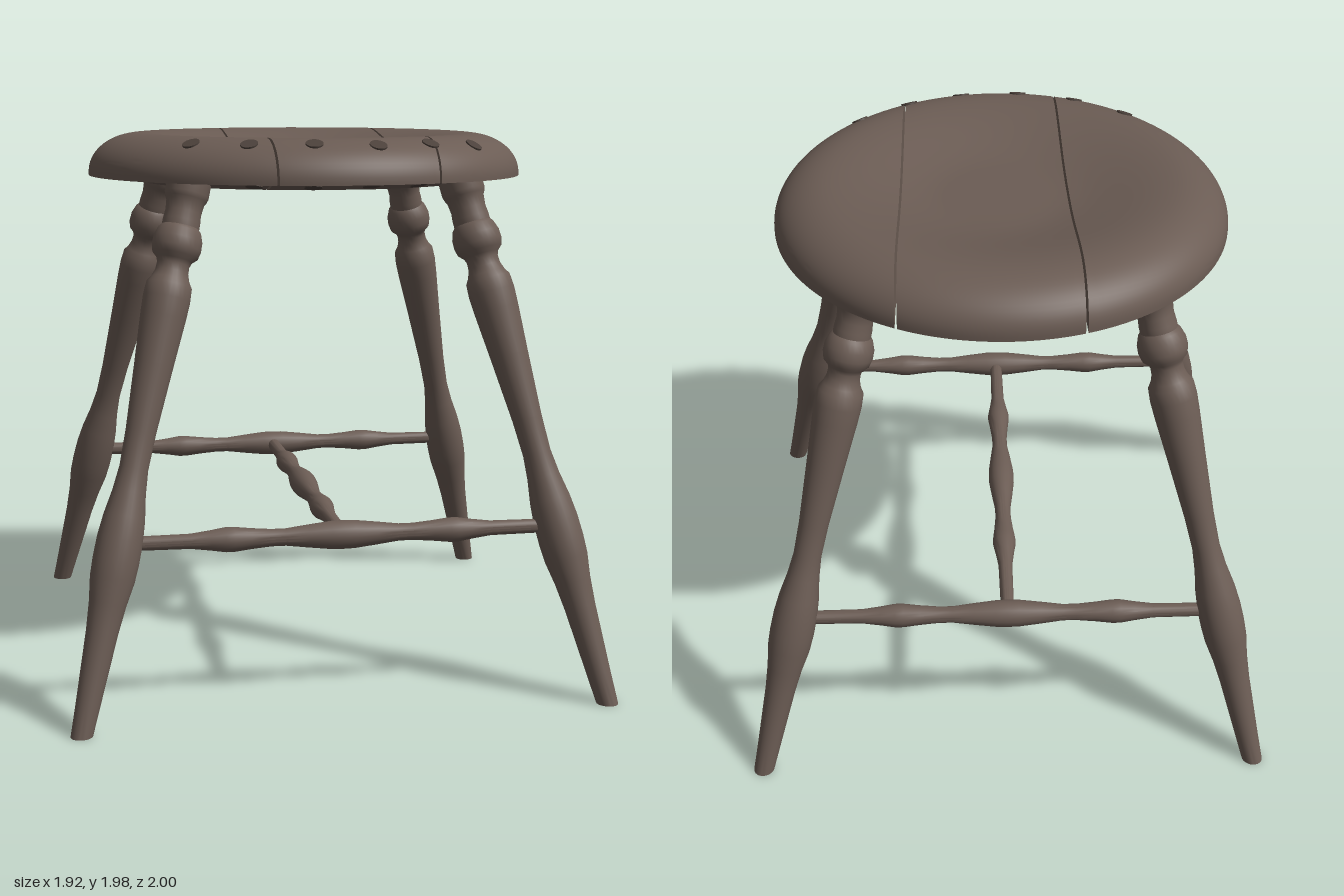
import * as THREE from 'three';
import { mergeVertices, toCreasedNormals } from 'three/addons/utils/BufferGeometryUtils.js';

const wood = new THREE.MeshStandardMaterial({ color: 0x6b5c54 });
wood.name = 'brown wood';
const holeWood = new THREE.MeshStandardMaterial({ color: 0x4c413b });
holeWood.name = 'dark hole';

const SEAT_R = 0.81;
const { smoothstep, lerp } = THREE.MathUtils;

// Height of the dished seat top and of its underside
function seatTop(x, z) {
  const r = Math.min(Math.hypot(x, z), SEAT_R);
  const y = r < 0.62
    ? 1.905 + 0.068 * smoothstep(r, 0.2, 0.62)
    : 1.83 + 0.143 * Math.sqrt(Math.max(0, 1 - ((r - 0.62) / 0.19) ** 2));
  return y - 0.008 * z;
}
function seatBottom(x, z) {
  return 1.79 + 0.028 * smoothstep(Math.hypot(x, z), 0.58, 0.72) - 0.004 * z;
}

// A seat plank between two lines x = a + b z, lofted from upright slices
function plankGeometry(from, to, ease) {
  const stations = 28, n = 56, loop = 2 * n + 2;
  const pos = [], index = [];
  for (let s = 0; s <= stations; s++) {
    const t = ease(s / stations);
    const a = lerp(from[0], to[0], t), b = lerp(from[1], to[1], t), k = 1 + b * b;
    const mid = -a * b / k;
    const half = Math.sqrt(a * a * b * b - k * (a * a - SEAT_R * SEAT_R)) / k;
    for (let j = 0; j < loop; j++) {
      const i = j <= n ? j : loop - 1 - j;
      const z = mid - half * Math.cos(Math.PI * i / n), x = a + b * z;
      pos.push(x, j <= n ? seatTop(x, z) : seatBottom(x, z), z);
    }
  }
  const quad = (a, b, c, d) => index.push(a, b, c, a, c, d);
  for (let s = 0; s < stations; s++) {
    for (let j = 0; j < loop; j++) {
      const p = s * loop + j, q = s * loop + (j + 1) % loop;
      quad(p, q, q + loop, p + loop);
    }
  }
  // Cut faces along the joints
  const last = stations * loop;
  for (let i = 0; i < n; i++) {
    const below = loop - 1 - i;
    quad(i, below, below - 1, i + 1);
    quad(last + i, last + i + 1, last + below - 1, last + below);
  }
  const geo = new THREE.BufferGeometry();
  geo.setAttribute('position', new THREE.Float32BufferAttribute(pos, 3));
  geo.setIndex(index);
  return toCreasedNormals(geo, 0.7);
}

// A turned piece standing on the y axis, from [radius, height] pairs
function turned(profile, sides) {
  const geo = new THREE.LatheGeometry(profile.map(([r, y]) => new THREE.Vector2(r, y)), sides);
  geo.deleteAttribute('normal');
  geo.deleteAttribute('uv');
  return mergeVertices(geo);
}

function addMesh(parent, name, geo, material = wood) {
  const mesh = new THREE.Mesh(geo, material);
  mesh.name = name;
  parent.add(mesh);
  return mesh;
}

// Splayed leg with its foot cut level with the floor
const LEG_PROFILE = [
  [0, -0.06], [0.037, -0.06], [0.042, 0.1], [0.055, 0.33], [0.064, 0.42], [0.077, 0.5],
  [0.08, 0.56], [0.079, 0.63], [0.072, 0.7], [0.058, 0.78], [0.05, 0.86], [0.053, 0.98],
  [0.068, 1.2], [0.08, 1.36], [0.083, 1.42], [0.08, 1.465], [0.067, 1.485], [0.058, 1.51],
  [0.057, 1.535], [0.063, 1.55], [0.08, 1.565], [0.087, 1.59], [0.086, 1.62], [0.075, 1.65],
  [0.066, 1.66], [0.066, 1.68], [0.063, 1.71], [0.067, 1.745], [0.073, 1.755], [0.078, 1.77],
  [0.078, 1.86], [0, 1.86],
];
function legGeometry(sx, sz) {
  const foot = new THREE.Vector3(sx * 0.92, 0, sz * 0.96);
  const slope = new THREE.Vector3(-sx * 0.239, 1, -sz * 0.27);
  const stretch = slope.length();
  const geo = turned(LEG_PROFILE.map(([r, y]) => [r, y * stretch]), 28);
  geo.applyQuaternion(new THREE.Quaternion().setFromUnitVectors(
    new THREE.Vector3(0, 1, 0), slope.clone().normalize()));
  geo.translate(foot.x, 0, foot.z);
  const p = geo.attributes.position;
  const v = new THREE.Vector3();
  for (let i = 0; i < p.count; i++) {
    v.fromBufferAttribute(p, i);
    if (v.y < 0) v.addScaledVector(slope, -v.y);
    p.setXYZ(i, v.x, v.y, v.z);
  }
  return toCreasedNormals(geo, 0.6);
}

// Stretcher with three swellings, centred on the origin
function stretcherGeometry(halfLength) {
  const half = [[0.05, 0], [0.049, 0.04], [0.04, 0.12], [0.03, 0.2], [0.03, 0.25], [0.036, 0.32],
    [0.043, 0.38], [0.043, 0.41], [0.035, 0.46], [0.026, 0.53], [0.024, halfLength], [0, halfLength]];
  const mirrored = half.slice(1).reverse().map(([r, y]) => [r, -y]);
  return toCreasedNormals(turned([...mirrored, ...half], 20), 0.6);
}

export function createModel() {
  const model = new THREE.Group();
  model.name = 'stool';

  // Seat: three planks with narrow open joints
  const seat = new THREE.Group();
  seat.name = 'seat';
  model.add(seat);
  const gap = 0.004;
  addMesh(seat, 'rightPlank', plankGeometry([-0.8098, 0], [-0.238 - gap, 0.023],
    t => 1 - Math.cos(t * Math.PI / 2)));
  addMesh(seat, 'middlePlank', plankGeometry([-0.238 + gap, 0.023], [0.357 - gap, -0.01], t => t));
  addMesh(seat, 'leftPlank', plankGeometry([0.357 + gap, -0.01], [0.8098, 0],
    t => Math.sin(t * Math.PI / 2)));

  // Spindle holes along the front rim, with their exits underneath
  const holes = [[-0.485, 0.53], [-0.3, 0.65], [-0.085, 0.705], [0.135, 0.71], [0.335, 0.635], [0.52, 0.525]];
  const up = new THREE.Vector3(0, 1, 0);
  for (const [x, z] of holes) {
    for (const [height, side, k] of [[seatTop, 1, 1], [seatBottom, -1, 0.92]]) {
      const hx = x * k, hz = z * k, e = 0.01;
      const normal = new THREE.Vector3(
        height(hx - e, hz) - height(hx + e, hz), 2 * e, height(hx, hz - e) - height(hx, hz + e),
      ).normalize();
      const hole = addMesh(seat, side > 0 ? 'spindleHole' : 'spindleHoleExit',
        new THREE.CylinderGeometry(0.031, 0.031, 0.008, 20), holeWood);
      hole.position.set(hx, height(hx, hz), hz);
      hole.quaternion.setFromUnitVectors(up, normal);
    }
  }

  // Four legs
  for (const sx of [-1, 1]) {
    for (const sz of [-1, 1]) {
      addMesh(model, (sz > 0 ? 'front' : 'back') + (sx > 0 ? 'Left' : 'Right') + 'Leg', legGeometry(sx, sz));
    }
  }

  // Front and back stretchers joined by a cross stretcher
  for (const sz of [-1, 1]) {
    const bar = addMesh(model, sz > 0 ? 'frontStretcher' : 'backStretcher', stretcherGeometry(0.76));
    bar.rotation.z = Math.PI / 2;
    bar.position.set(0, 0.61, sz * 0.79);
  }
  const cross = addMesh(model, 'crossStretcher', stretcherGeometry(0.78));
  cross.rotation.x = Math.PI / 2;
  cross.position.y = 0.61;

  return model;
}
